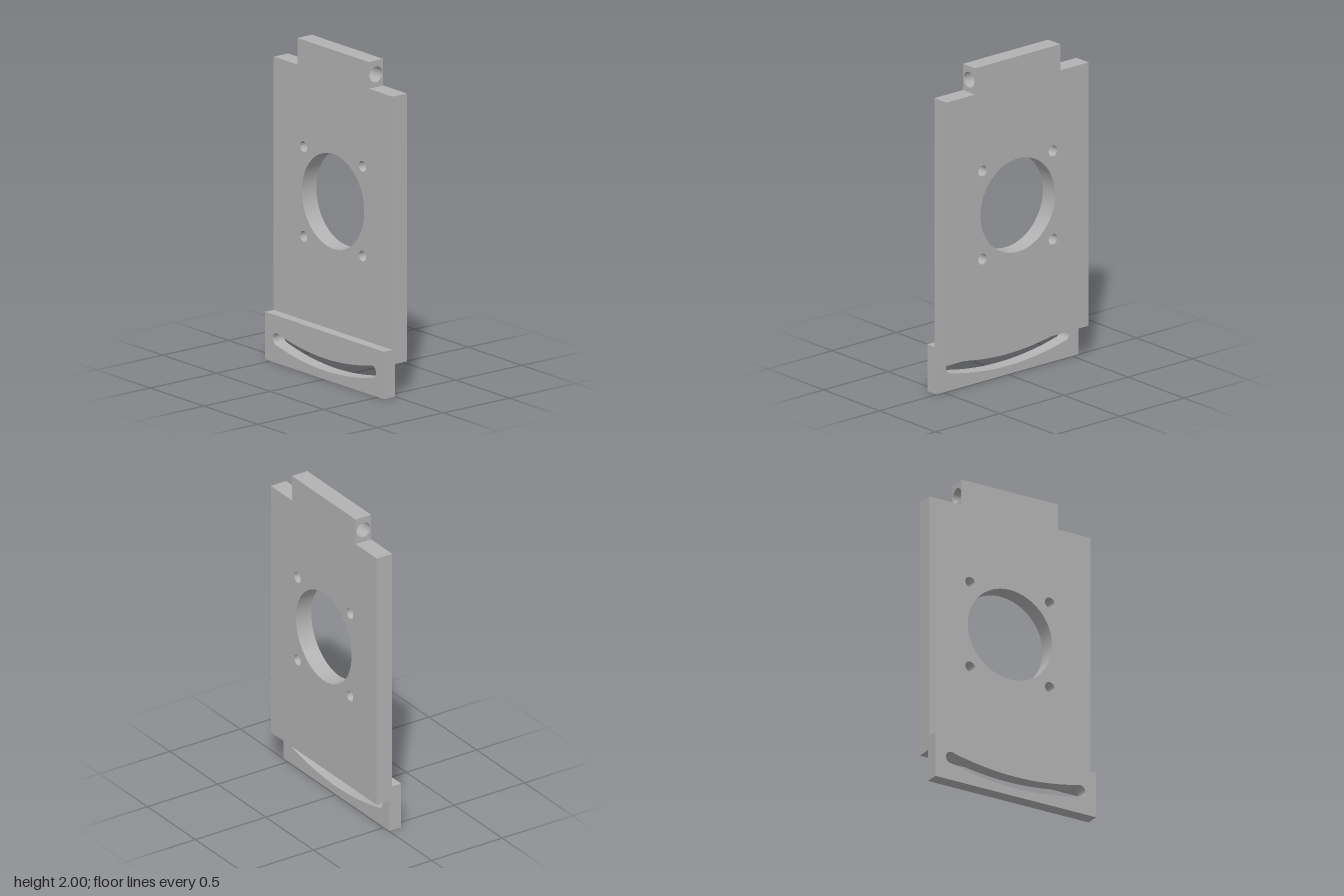
import * as THREE from 'three';
import { toCreasedNormals } from 'three/addons/utils/BufferGeometryUtils.js';

const HALF_W = 0.553;   // half width of the plate along z
const PIVOT_Y = 1.915;  // axis of the hinge bore, centre of the slot's arc

function rect(x0, y0, x1, y1) {
  return new THREE.Shape([
    new THREE.Vector2(x0, y0), new THREE.Vector2(x1, y0),
    new THREE.Vector2(x1, y1), new THREE.Vector2(x0, y1),
  ]);
}

function circle(x, y, r) {
  return new THREE.Path().absarc(x, y, r, 0, Math.PI * 2, true);
}

function extrude(shape, depth) {
  const geo = new THREE.ExtrudeGeometry(shape, { depth, bevelEnabled: false, curveSegments: 40 });
  return toCreasedNormals(geo, 0.6);
}

// Extrude a z-y outline along x, from x0 to x1
function slab(shape, x0, x1) {
  return extrude(shape, x1 - x0).rotateY(Math.PI / 2).translate(x0, 0, 0);
}

// Curved slot with round ends, following an arc about the pivot
function arcSlot(radius, halfSpan, r) {
  const a = Math.asin(halfSpan / radius);
  const mid = -Math.PI / 2;
  const end = (s) => [radius * Math.sin(a) * s, PIVOT_Y - radius * Math.cos(a)];
  const path = new THREE.Path();
  path.absarc(0, PIVOT_Y, radius + r, mid - a, mid + a, false);
  path.absarc(...end(1), r, mid + a, mid + a + Math.PI, false);
  path.absarc(0, PIVOT_Y, radius - r, mid + a, mid - a, true);
  path.absarc(...end(-1), r, mid - a + Math.PI, mid - a + Math.PI * 2, false);
  return path;
}

export function createModel() {
  const model = new THREE.Group();
  model.name = 'mountingPlate';
  const grey = new THREE.MeshStandardMaterial({ color: 0xb2b2b2 });
  grey.name = 'plainGrey';

  const add = (name, geo) => {
    const mesh = new THREE.Mesh(geo, grey);
    mesh.name = name;
    model.add(mesh);
  };

  // Main plate with the large opening and four screw holes
  const plate = rect(-HALF_W, 0.2, HALF_W, 1.837);
  plate.holes.push(circle(0, 1.075, 0.29));
  for (const z of [-0.274, 0.274]) {
    for (const y of [0.801, 1.349]) plate.holes.push(circle(z, y, 0.033));
  }
  add('plate', slab(plate, -0.022, 0.087));

  // Hinge tab on top, bored lengthwise
  const tab = rect(-0.022, 1.837, 0.087, 2);
  tab.holes.push(circle(0.032, PIVOT_Y, 0.048));
  add('hingeTab', extrude(tab, 0.664).translate(0, 0, -0.332));

  // Offset foot bar with the curved adjustment slot
  const foot = rect(-HALF_W, 0, HALF_W, 0.29);
  foot.holes.push(arcSlot(1.825, 0.443, 0.037));
  add('slottedFoot', slab(foot, -0.087, -0.003));

  return model;
}
